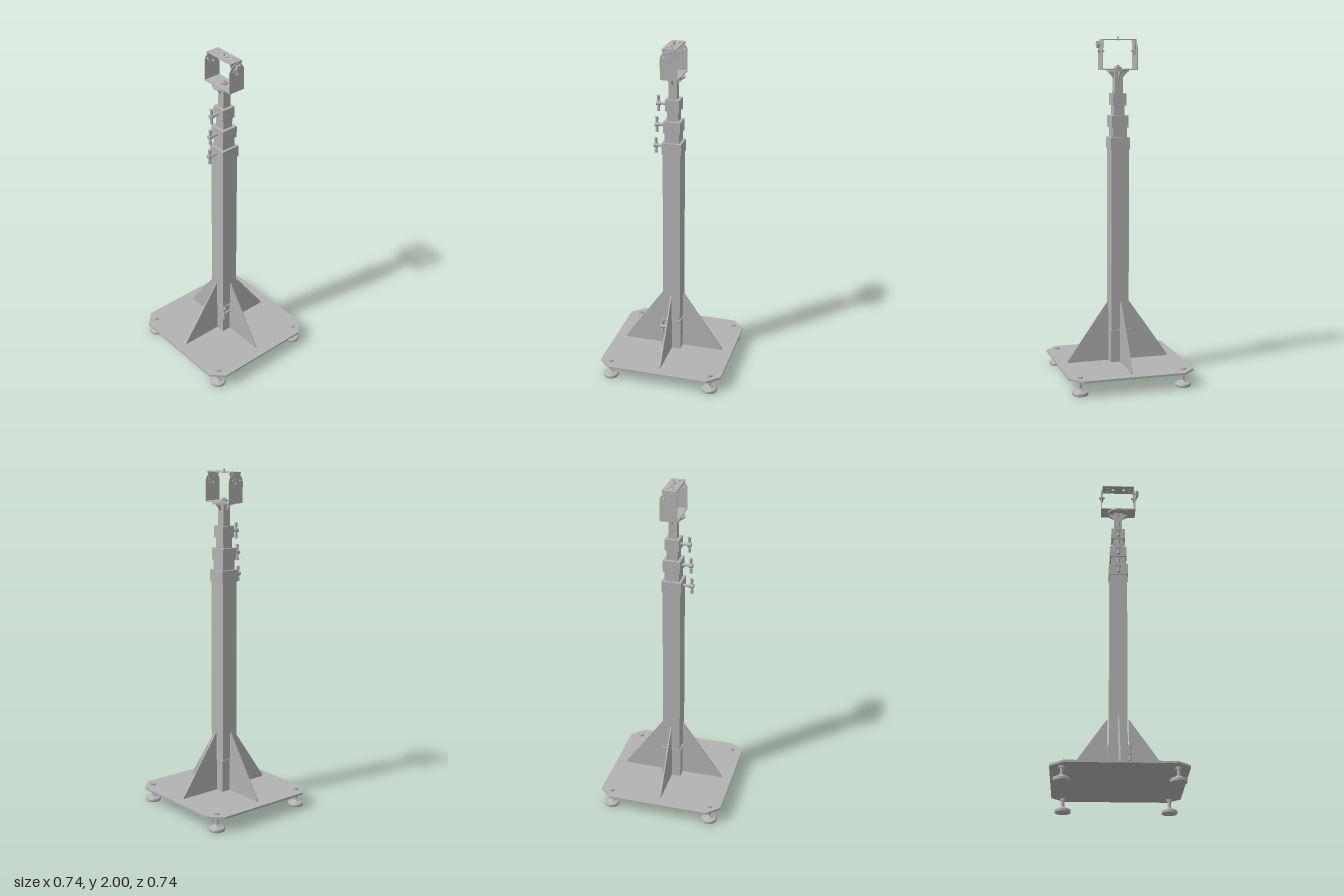
import * as THREE from 'three';

const steel = new THREE.MeshStandardMaterial({ color: 0xb2b2b2 });
steel.name = 'grey steel';

function add(parent, name, geo, x = 0, y = 0, z = 0) {
  const m = new THREE.Mesh(geo, steel);
  m.name = name;
  m.position.set(x, y, z);
  parent.add(m);
  return m;
}
const box = (p, name, w, h, d, x, y, z) => add(p, name, new THREE.BoxGeometry(w, h, d), x, y, z);

// cylinder along a chosen axis
function rod(p, name, r, len, axis, x, y, z, sides = 20, rTop = r) {
  const g = new THREE.CylinderGeometry(rTop, r, len, sides);
  if (axis === 'x') g.rotateZ(-Math.PI / 2);
  if (axis === 'z') g.rotateX(Math.PI / 2);
  return add(p, name, g, x, y, z);
}

const polygon = pts => new THREE.Shape(pts.map(([x, y]) => new THREE.Vector2(x, y)));

// flat sheet, centred on its own thickness
function sheet(shape, t) {
  const g = new THREE.ExtrudeGeometry(shape, { depth: t, bevelEnabled: false, curveSegments: 16 });
  return g.translate(0, 0, -t / 2);
}

function circleHole(x, y, r) {
  return new THREE.Path().absarc(x, y, r, 0, Math.PI * 2, true);
}

function slotHole(x, y, half, r) {
  const p = new THREE.Path();
  p.absarc(x - half, y, r, Math.PI / 2, Math.PI * 1.5, false);
  p.absarc(x + half, y, r, -Math.PI / 2, Math.PI / 2, false);
  p.closePath();
  return p;
}

// T-handled clamping screw pointing towards +z
function clampScrew(p, name, x, y, zStart, zEnd, halfBar = 0.045) {
  const g = new THREE.Group();
  g.name = name;
  p.add(g);
  const len = zEnd - zStart;
  rod(g, 'screwShaft', 0.008, len, 'z', x, y, zStart + len / 2);
  rod(g, 'screwHub', 0.013, 0.024, 'z', x, y, zEnd);
  for (const s of [1, -1]) {
    const h = halfBar - 0.005;
    const arm = rod(g, 'handleArm', 0.006, h, 'y', x, y + s * (0.005 + h / 2), zEnd, 14, 0.010);
    if (s < 0) arm.rotation.x = Math.PI;
  }
}

function buildBase(root) {
  const base = new THREE.Group();
  base.name = 'base';
  root.add(base);
  const a = 0.372, b = 0.3, f = 0.306;
  const plate = polygon([[a, -b], [a, b], [b, a], [-b, a], [-a, b], [-a, -b], [-b, -a], [b, -a]]);
  add(base, 'basePlate', sheet(plate, 0.012).rotateX(-Math.PI / 2), 0, 0.091, 0);

  // levelling feet
  const profile = [[0, 0], [0.044, 0], [0.046, 0.004], [0.046, 0.016], [0.042, 0.021],
    [0.022, 0.027], [0.017, 0.034], [0.013, 0.036], [0, 0.036]].map(p => new THREE.Vector2(...p));
  for (const sx of [-1, 1]) for (const sz of [-1, 1]) {
    const foot = new THREE.Group();
    foot.name = 'levellingFoot';
    foot.position.set(sx * f, 0, sz * f);
    base.add(foot);
    const pad = new THREE.LatheGeometry(profile, 28).toNonIndexed();
    pad.computeVertexNormals();
    add(foot, 'footPad', pad);
    rod(foot, 'footStem', 0.009, 0.08, 'y', 0, 0.068, 0);
    rod(foot, 'lowerNut', 0.017, 0.014, 'y', 0, 0.078, 0, 6);
    rod(foot, 'upperNut', 0.017, 0.010, 'y', 0, 0.102, 0, 6);
  }

  // triangular gussets on the four sides, with a notch beside the socket
  const gusset = polygon([[0.055, 0.096], [0.306, 0.096], [0.306, 0.108], [0.064, 0.455],
    [0.060, 0.455], [0.060, 0.29], [0.055, 0.29]]);
  for (let i = 0; i < 4; i++) {
    add(base, 'gusset', sheet(gusset, 0.007)).rotation.y = i * Math.PI / 2;
  }

  // socket with locking screw at one corner
  box(base, 'socket', 0.116, 0.195, 0.116, 0, 0.1935, 0);
  clampScrew(base, 'socketScrew', 0.063, 0.243, 0, 0.052, 0.042);
}

function buildMast(root) {
  const mast = new THREE.Group();
  mast.name = 'mast';
  root.add(mast);
  // half width, bottom, top of each telescoping tube
  for (const [h, y0, y1] of [[0.052, 0.097, 1.37], [0.042, 1.36, 1.5], [0.032, 1.48, 1.62], [0.024, 1.6, 1.803]]) {
    box(mast, 'tube', 2 * h, y1 - y0, 2 * h, 0, (y0 + y1) / 2, 0);
  }
  // collar half width, centre height and handle reach
  for (const [h, y, reach] of [[0.057, 1.392, 0.106], [0.05, 1.518, 0.1], [0.041, 1.645, 0.09]]) {
    const collar = new THREE.Group();
    collar.name = 'collar';
    collar.position.y = y;
    mast.add(collar);
    box(collar, 'collarBlock', 2 * h, 0.068, 2 * h, 0, 0, 0);
    clampScrew(collar, 'collarScrew', 0, 0, h, reach);
    for (const s of [-1, 1]) {
      for (const side of [-1, 1]) rod(collar, 'collarBolt', 0.004, 0.002, 'x', side * h, 0, s * h * 0.6, 10);
      rod(collar, 'collarBolt', 0.004, 0.002, 'z', s * h * 0.6, 0, -h, 10);
    }
  }
}

function buildHead(root) {
  const head = new THREE.Group();
  head.name = 'head';
  root.add(head);
  rod(head, 'headDisc', 0.065, 0.009, 'y', 0, 1.8075, 0, 36);
  const rib = polygon([[0.022, 1.765], [0.026, 1.765], [0.06, 1.803], [0.022, 1.803]]);
  for (let i = 0; i < 4; i++) add(head, 'headRib', sheet(rib, 0.005)).rotation.y = i * Math.PI / 2;

  // outer fork with rounded, slotted cheeks
  box(head, 'forkFloor', 0.204, 0.006, 0.1, 0, 1.815, 0);
  const cheek = new THREE.Shape();
  cheek.moveTo(-0.05, 1.812);
  cheek.lineTo(0.05, 1.812);
  cheek.absarc(0, 1.928, 0.05, 0, Math.PI, false);
  const arc = new THREE.Path();
  const a0 = Math.PI / 6, a1 = Math.PI - a0;
  arc.absarc(0, 1.918, 0.042, a0, a1, false);
  arc.absarc(0, 1.918, 0.032, a1, a0, true);
  arc.closePath();
  cheek.holes.push(arc);
  for (const s of [-1, 1]) {
    add(head, 'forkCheek', sheet(cheek, 0.005).rotateY(Math.PI / 2), s * 0.1025, 0, 0);
  }
  rod(head, 'forkBolt', 0.022, 0.012, 'y', 0, 1.824, 0, 6);
  rod(head, 'forkBoltTip', 0.01, 0.01, 'y', 0, 1.834, 0);

  // tilting inner bracket
  const top = polygon([[-0.099, -0.04], [0.099, -0.04], [0.099, 0.04], [-0.099, 0.04]]);
  for (const s of [-1, 1]) {
    top.holes.push(circleHole(s * 0.033, 0, 0.01));
    for (const t of [-1, 1]) top.holes.push(slotHole(s * 0.067, t * 0.016, 0.008, 0.0035));
  }
  add(head, 'bracketTop', sheet(top, 0.005).rotateX(-Math.PI / 2), 0, 1.9835, 0);
  const tab = new THREE.Shape();
  tab.moveTo(0.04, 1.981);
  tab.lineTo(-0.04, 1.981);
  tab.lineTo(-0.024, 1.918);
  tab.absarc(0, 1.918, 0.024, Math.PI, Math.PI * 2, false);
  tab.closePath();
  for (const s of [-1, 1]) {
    add(head, 'bracketTab', sheet(tab, 0.005).rotateY(Math.PI / 2), s * 0.0965, 0, 0);
    // pivot bolts
    rod(head, 'pivotBolt', 0.005, 0.038, 'x', s * 0.1, 1.92, 0);
    rod(head, 'pivotNut', 0.012, 0.008, 'x', s * 0.109, 1.92, 0, 6);
    rod(head, 'pivotNut', 0.010, 0.006, 'x', s * 0.091, 1.92, 0, 6);
  }
  // tilt locking knob with lobes
  rod(head, 'tiltShaft', 0.005, 0.036, 'x', 0.104, 1.956, 0);
  rod(head, 'tiltKnob', 0.018, 0.014, 'x', 0.119, 1.956, 0, 24);
  for (let i = 0; i < 6; i++) {
    const a = i * Math.PI / 3;
    rod(head, 'knobLobe', 0.006, 0.014, 'x', 0.119, 1.956 + 0.017 * Math.sin(a), 0.017 * Math.cos(a), 10);
  }
  rod(head, 'topPin', 0.005, 0.02, 'y', 0, 1.99, 0);
}

export function createModel() {
  const root = new THREE.Group();
  root.name = 'telescopicStand';
  buildBase(root);
  buildMast(root);
  buildHead(root);
  return root;
}
